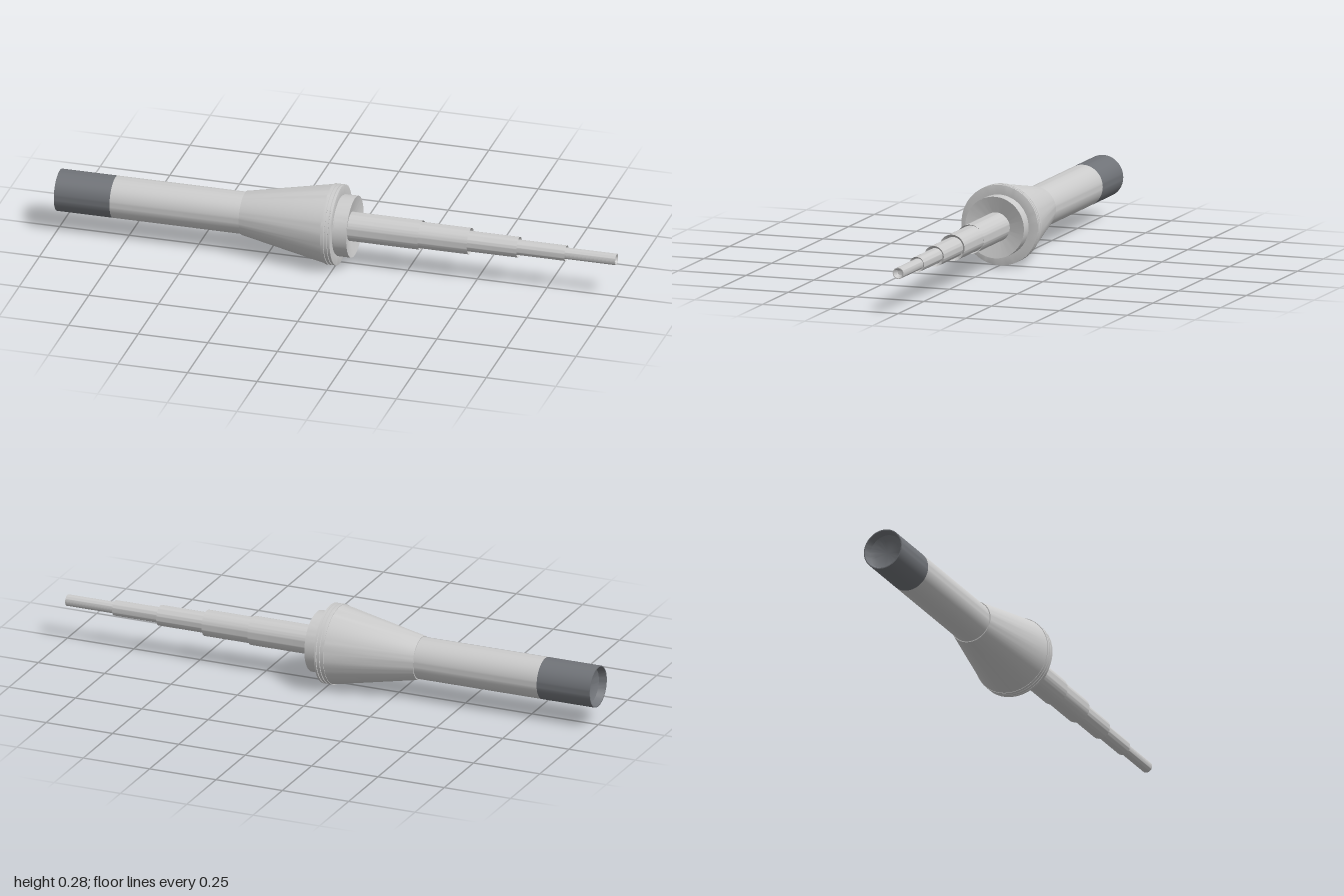
import * as THREE from 'three';
import { toCreasedNormals } from 'three/addons/utils/BufferGeometryUtils.js';

const AXIS_Y = 0.141;

export function createModel() {
  const model = new THREE.Group();
  model.name = 'telescopicProbe';
  const grey = new THREE.MeshStandardMaterial({ color: 0xcccccc, side: THREE.DoubleSide });
  const dark = new THREE.MeshStandardMaterial({ color: 0x707378, side: THREE.DoubleSide });

  // Turned part: profile of [x along the axis, radius], listed towards +x
  function turned(name, profile, material = grey) {
    const points = profile.map(([x, r]) => new THREE.Vector2(r, x));
    const geometry = toCreasedNormals(new THREE.LatheGeometry(points, 64), 0.45);
    geometry.rotateZ(-Math.PI / 2);
    const mesh = new THREE.Mesh(geometry, material);
    mesh.name = name;
    mesh.position.y = AXIS_Y;
    model.add(mesh);
  }

  // Dark end sleeve with a recessed end
  turned('endSleeve', [
    [-0.96, 0], [-0.965, 0.045], [-0.975, 0.062], [-1, 0.07], [-1, 0.0735], [-0.8, 0.0735],
  ], dark);

  // Straight grip
  turned('grip', [[-0.8, 0.0735], [-0.33, 0.0735]]);

  // Flared body, finishing in a finely grooved flange
  turned('flaredBody', [
    [-0.335, 0.0735], [-0.335, 0.077], [-0.025, 0.139], [-0.025, 0.141],
    [-0.014, 0.141], [-0.013, 0.138], [-0.011, 0.138], [-0.010, 0.141],
    [-0.001, 0.141], [0, 0.138], [0.002, 0.138], [0.003, 0.141],
    [0.01, 0.141], [0.008, 0.104],
  ]);

  // Front collar with a shallow dished face
  turned('frontCollar', [
    [0.005, 0.104], [0.014, 0.104], [0.014, 0.108], [0.06, 0.108], [0.045, 0.045],
  ]);

  // Telescopic rod: each stage has a hollowed end around the next stage
  const stages = [
    [0.04, 0.3, 0.051], [0.28, 0.475, 0.046], [0.455, 0.65, 0.036],
    [0.63, 0.82, 0.027], [0.8, 1, 0.02],
  ];
  stages.forEach(([start, end, radius], i) => {
    const next = stages[i + 1];
    const profile = [[start, radius], [end, radius]];
    if (next) profile.push([end - 0.012, next[2]]);
    else profile.push([end, 0.017], [end - 0.012, 0.014], [end - 0.018, 0.008], [end - 0.02, 0]);
    turned('rodStage' + (i + 1), profile);
  });

  return model;
}
